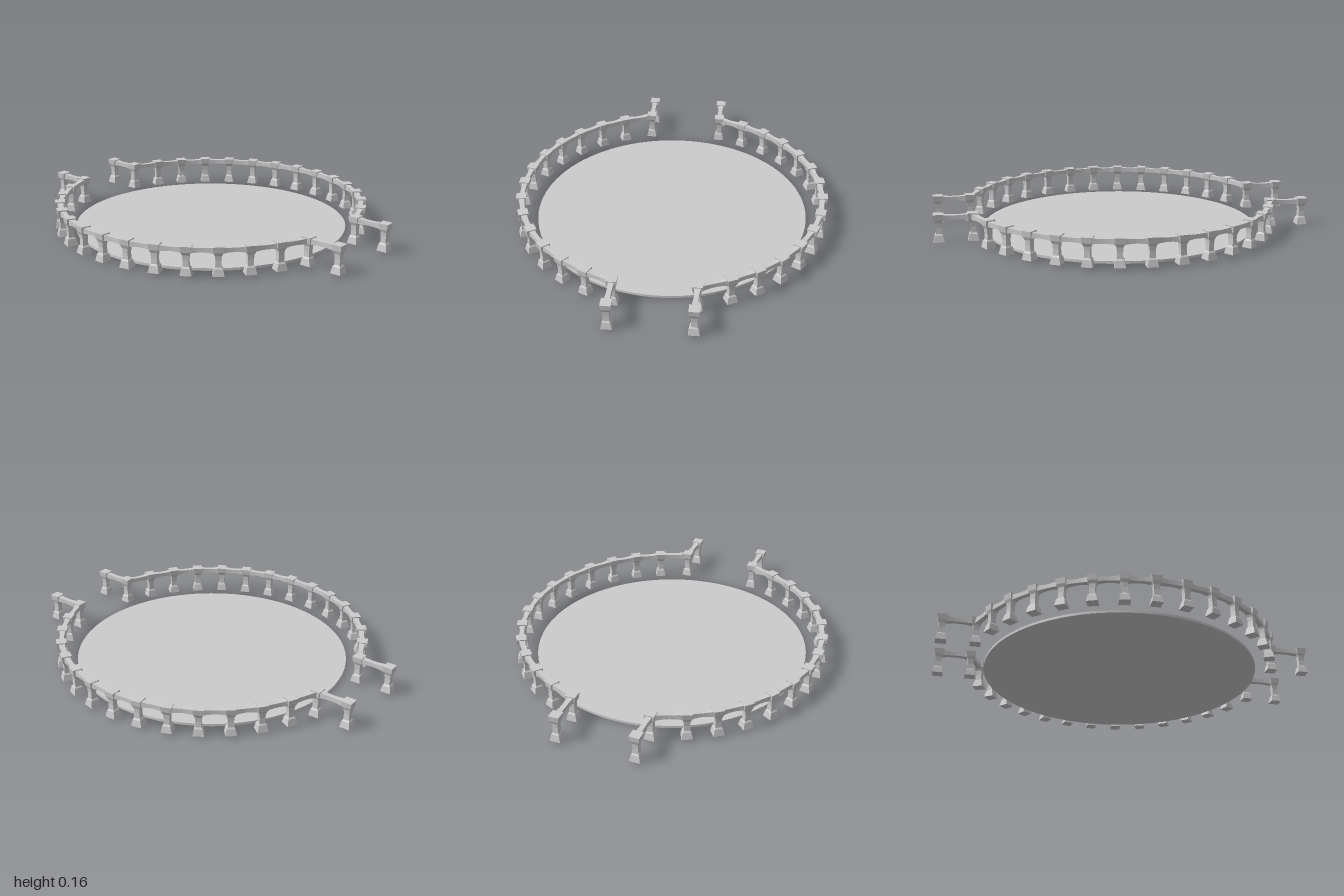
import * as THREE from 'three';

const stone = new THREE.MeshStandardMaterial({ color: 0xcccccc, flatShading: true });
const smoothStone = new THREE.MeshStandardMaterial({ color: 0xcccccc });

// Square baluster: half-width / height profile turned in four sides
function postGeometry() {
  const profile = [
    [0, 0.011], [0.028, 0.011], [0.021, 0.046], [0.0155, 0.054], [0.0145, 0.085],
    [0.0165, 0.11], [0.0235, 0.126], [0.027, 0.156], [0, 0.156],
  ].map(([w, y]) => new THREE.Vector2(w * Math.SQRT2, y));
  return new THREE.LatheGeometry(profile, 4).rotateY(Math.PI / 4);
}

// Unit-length rail, slimmer at mid-span than at its ends
function railGeometry() {
  const geo = new THREE.BoxGeometry(1, 0.022, 0.024, 6, 1, 1);
  const p = geo.attributes.position;
  for (let i = 0; i < p.count; i++) {
    const t = 2 * p.getX(i);
    const swell = 1 + 0.45 * t * t;
    p.setY(i, p.getY(i) * swell);
    p.setZ(i, p.getZ(i) * swell);
  }
  geo.computeVertexNormals();
  return geo;
}

// One half of the balustrade, on the back (-z) side
function createBalustrade(postGeo, railGeo) {
  const group = new THREE.Group();
  const radius = 0.815, step = 10.67, cornerX = 0.798, endX = 0.973, sideZ = -0.207;

  // Stations from the left entrance round the arc to the right entrance
  const stations = [{ x: -endX, z: sideZ, turn: 0 }, { x: -cornerX, z: sideZ, turn: 0 }];
  for (let k = -6; k <= 6; k++) {
    const a = THREE.MathUtils.degToRad(k * step - 0.5);
    stations.push({ x: radius * Math.sin(a), z: -radius * Math.cos(a), turn: -a });
  }
  stations.push({ x: cornerX, z: sideZ, turn: 0 }, { x: endX, z: sideZ, turn: 0 });

  stations.forEach((s, i) => {
    const post = new THREE.Mesh(postGeo, stone);
    post.name = 'post';
    post.position.set(s.x, 0, s.z);
    post.rotation.y = s.turn;
    group.add(post);

    const next = stations[i + 1];
    if (!next) return;
    const dx = next.x - s.x, dz = next.z - s.z;
    const rail = new THREE.Mesh(railGeo, stone);
    rail.name = 'rail';
    rail.position.set((s.x + next.x) / 2, 0.136, (s.z + next.z) / 2);
    rail.rotation.y = -Math.atan2(dz, dx);
    rail.scale.x = Math.hypot(dx, dz) - 0.03;
    group.add(rail);
  });
  return group;
}

export function createModel() {
  const model = new THREE.Group();
  model.name = 'roundTerrace';

  // Thin round floor
  const floor = new THREE.Mesh(new THREE.CylinderGeometry(0.735, 0.735, 0.013, 96), smoothStone);
  floor.name = 'floor';
  floor.position.y = 0.0065;
  model.add(floor);

  // Two balustrades, half a turn apart
  const postGeo = postGeometry(), railGeo = railGeometry();
  ['backBalustrade', 'frontBalustrade'].forEach((name, i) => {
    const half = createBalustrade(postGeo, railGeo);
    half.name = name;
    half.rotation.y = i * Math.PI;
    model.add(half);
  });
  return model;
}
